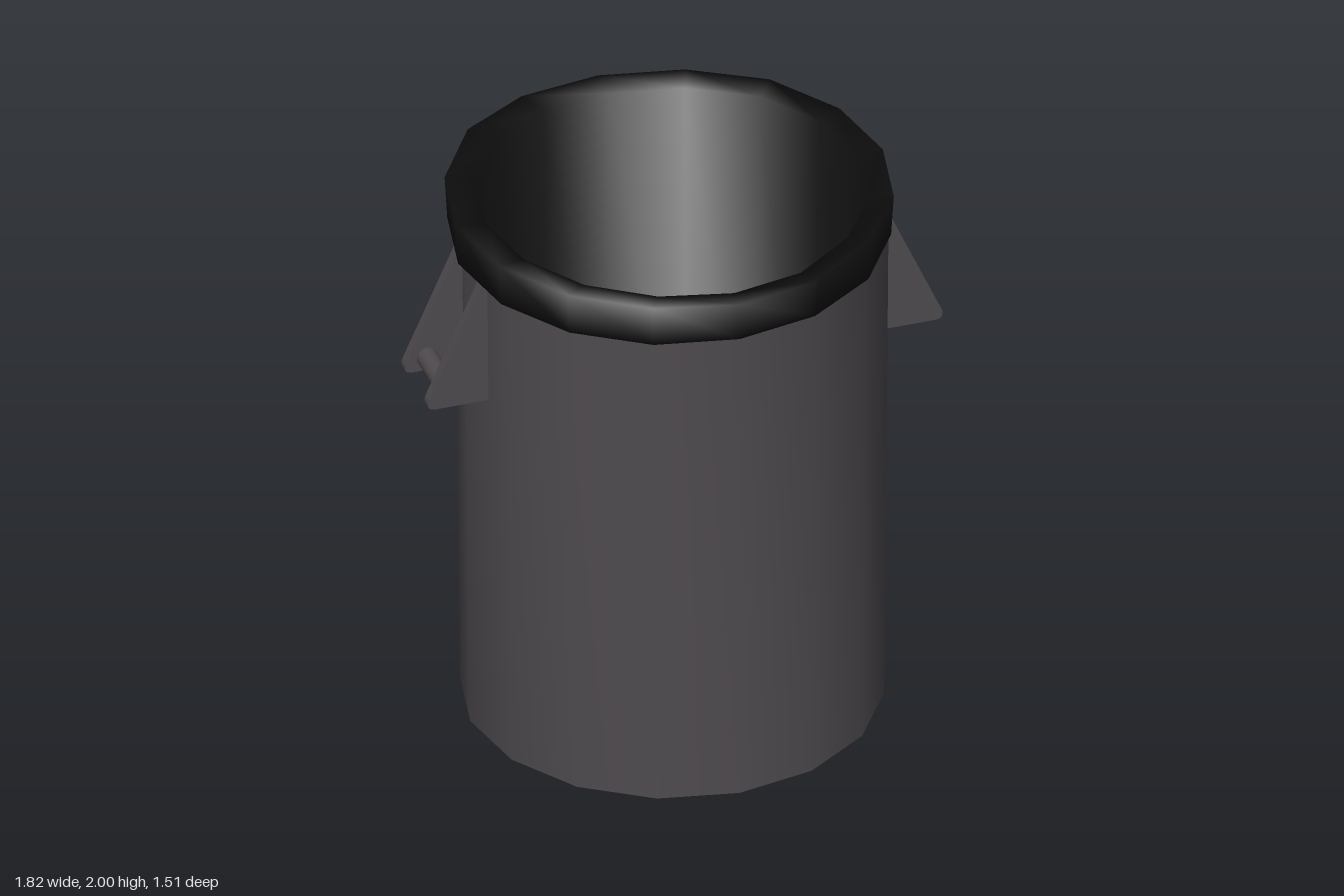
import * as THREE from 'three';
import { toCreasedNormals } from 'three/addons/utils/BufferGeometryUtils.js';

const SIDES = 16;
const v = (x, y) => new THREE.Vector2(x, y);

export function createModel() {
  const model = new THREE.Group();
  model.name = 'trashCan';
  const greyPlastic = new THREE.MeshStandardMaterial({ color: 0x4f4b4f });
  greyPlastic.name = 'greyPlastic';
  const blackBag = new THREE.MeshStandardMaterial({ color: 0x0e0e0e });
  blackBag.name = 'blackBag';

  const add = (parent, name, geometry, material) => {
    const mesh = new THREE.Mesh(geometry, material);
    mesh.name = name;
    parent.add(mesh);
    return mesh;
  };

  // Slightly flared barrel with a flat base
  const barrel = new THREE.LatheGeometry([v(0, 0), v(0.715, 0), v(0.73, 1.9)], SIDES);
  add(model, 'barrel', toCreasedNormals(barrel, 0.7), greyPlastic);

  // Bag liner: folded over the rim outside, hanging down to the floor inside
  const profile = [v(0.7, 1.83), v(0.748, 1.83), v(0.757, 1.983), v(0.66, 1.968), v(0.63, 0.08), v(0, 0.06)];
  const liner = new THREE.LatheGeometry(profile, SIDES);
  const pos = liner.attributes.position;
  // Uneven rim height, starting at the front and going round by the left
  const sag = [-1, -1, 0, 0, 0, 0, 0, -1, -1, 0, 1.7, 0.7, 0.3, 0.2, 0, -0.3];
  for (let i = 0; i < pos.count; i++) {
    const row = i % profile.length;
    const column = Math.floor(i / profile.length) % SIDES;
    if (row === 2 || row === 3) pos.setY(i, pos.getY(i) + 0.01 * sag[column]);
    if (row === 1 || row === 2) pos.setX(i, pos.getX(i) - 0.01);
  }
  add(model, 'bagLiner', toCreasedNormals(liner, 1.8), blackBag);

  // Side handles: two triangular brackets with a round grip between them
  const bracket = new THREE.Shape();
  bracket.moveTo(0.68, 1.36);
  bracket.lineTo(0.888, 1.36);
  bracket.quadraticCurveTo(0.922, 1.362, 0.908, 1.4);
  bracket.lineTo(0.715, 1.835);
  bracket.lineTo(0.68, 1.835);
  const plate = new THREE.ExtrudeGeometry(bracket, { depth: 0.038, bevelEnabled: false, curveSegments: 5 });
  const grip = new THREE.CylinderGeometry(0.037, 0.037, 0.21, 16).rotateX(Math.PI / 2);

  for (const side of ['left', 'right']) {
    const handle = new THREE.Group();
    handle.name = side + 'Handle';
    if (side === 'right') handle.rotation.y = Math.PI;
    add(handle, 'frontBracket', plate, greyPlastic).position.z = 0.103;
    add(handle, 'backBracket', plate, greyPlastic).position.z = -0.141;
    add(handle, 'grip', grip, greyPlastic).position.set(0.833, 1.412, 0);
    model.add(handle);
  }
  return model;
}
